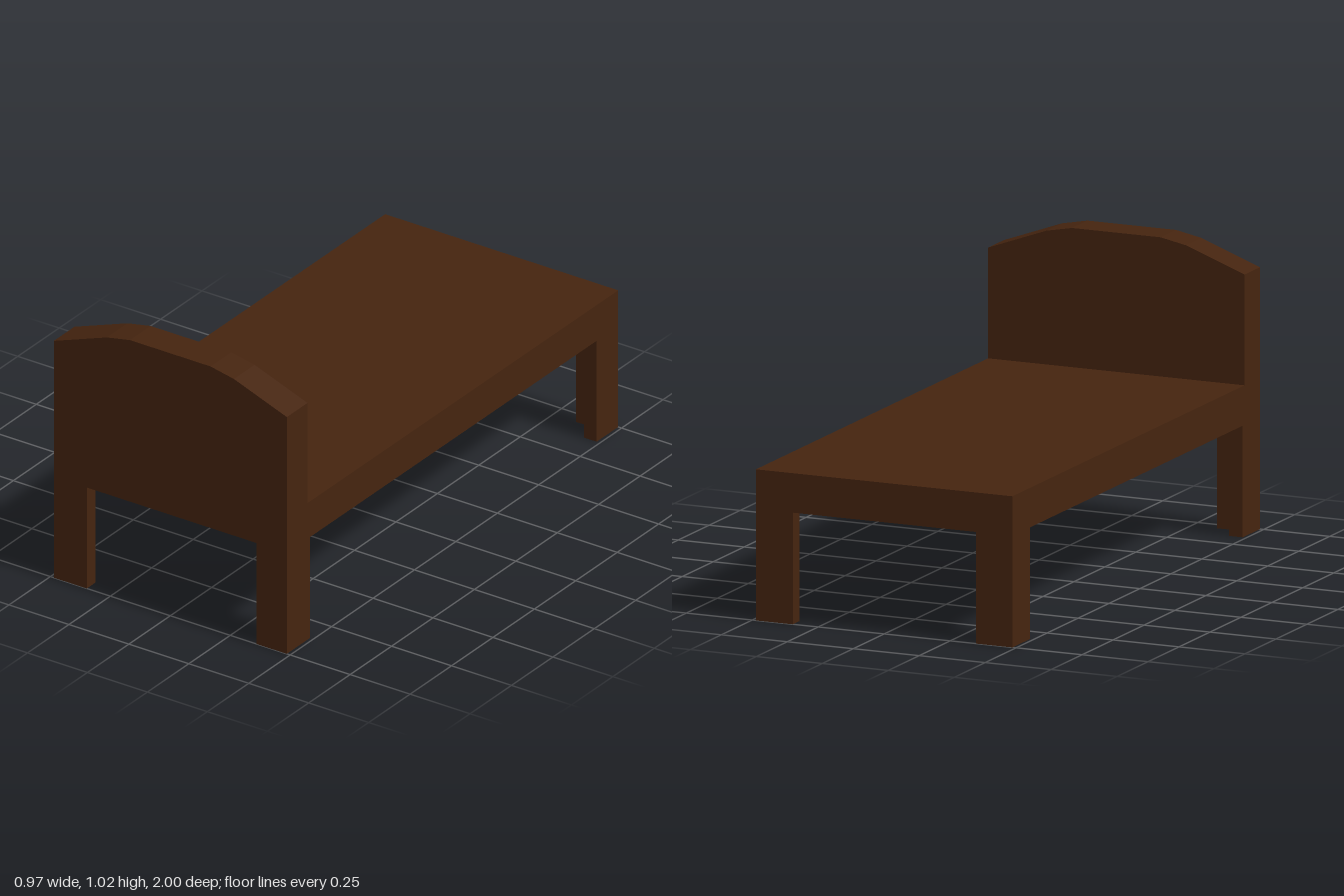
import * as THREE from 'three';

const HALF_W = 0.486;
const LEG_H = 0.393;
const DECK_TOP = 0.532;
const HEAD_Z = 0.875;

const wood = new THREE.MeshStandardMaterial({ color: 0x45240f, flatShading: true });

function extrude(points, depth) {
  const shape = new THREE.Shape(points.map(([x, y]) => new THREE.Vector2(x, y)));
  return new THREE.ExtrudeGeometry(shape, { depth, bevelEnabled: false });
}

function add(group, name, geometry) {
  const mesh = new THREE.Mesh(geometry, wood);
  mesh.name = name;
  group.add(mesh);
}

// L-shaped post, open towards the middle of the bed
function legGeometry(sx, sz, innerX, innerZ) {
  const t = 0.052;
  const outline = [
    [HALF_W, 1], [innerX, 1], [innerX, 1 - t],
    [HALF_W - t, 1 - t], [HALF_W - t, innerZ], [HALF_W, innerZ],
  ];
  return extrude(outline.map(([x, z]) => [sx * x, -sz * z]), LEG_H).rotateX(-Math.PI / 2);
}

export function createModel() {
  const bed = new THREE.Group();
  bed.name = 'bed';

  // Solid sleeping deck
  const deckH = DECK_TOP - LEG_H;
  const deckL = HEAD_Z + 1;
  add(bed, 'deck', new THREE.BoxGeometry(HALF_W * 2, deckH, deckL)
    .translate(0, LEG_H + deckH / 2, HEAD_Z - deckL / 2));

  // Headboard with a faceted arch on top
  const arch = [[HALF_W, 0.922], [0.265, 1.003], [0.168, 1.022]];
  const mirrored = arch.map(([x, y]) => [-x, y]).reverse();
  add(bed, 'headboard', extrude(
    [[-HALF_W, LEG_H], [HALF_W, LEG_H], ...arch, ...mirrored],
    1 - HEAD_Z,
  ).translate(0, 0, HEAD_Z));

  // Four corner legs
  add(bed, 'headLegLeft', legGeometry(1, 1, 0.36, 0.86));
  add(bed, 'headLegRight', legGeometry(-1, 1, 0.348, 0.86));
  add(bed, 'footLegLeft', legGeometry(1, -1, 0.346, 0.87));
  add(bed, 'footLegRight', legGeometry(-1, -1, 0.348, 0.86));

  return bed;
}
